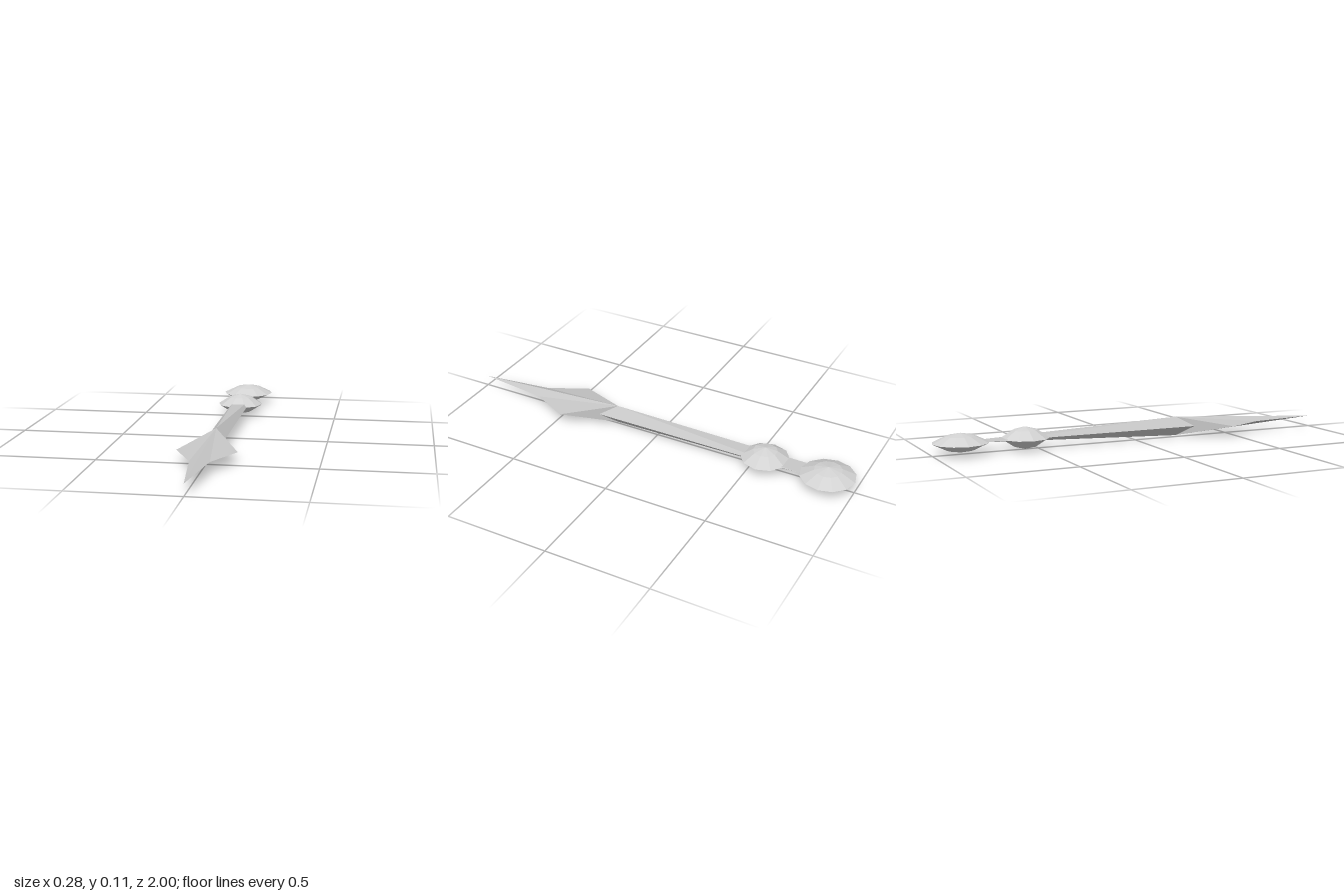
import * as THREE from 'three';

const MID = 0.056; // height of the symmetry plane

// Builds a faceted solid from the triangles of one quarter, mirrored in x and y.
function mirroredSolid(triangles, material, name) {
  const positions = [];
  for (const sx of [1, -1]) {
    for (const sy of [1, -1]) {
      for (const [a, b, c] of triangles) {
        const order = sx * sy > 0 ? [a, b, c] : [a, c, b];
        for (const [x, y, z] of order) positions.push(x * sx, y * sy, z);
      }
    }
  }
  const geometry = new THREE.BufferGeometry();
  geometry.setAttribute('position', new THREE.Float32BufferAttribute(positions, 3));
  geometry.computeVertexNormals();
  const mesh = new THREE.Mesh(geometry, material);
  mesh.name = name;
  mesh.position.y = MID;
  return mesh;
}

// Flattened faceted bead with a low crown above and below.
function bead(radius, height, sides, z, material, name) {
  const profile = [
    [0, -1], [0.5, -0.7], [1, 0], [0.5, 0.7], [0, 1],
  ].map(([r, y]) => new THREE.Vector2(r * radius, y * height));
  const geometry = new THREE.LatheGeometry(profile, sides, Math.PI / 2).toNonIndexed();
  geometry.computeVertexNormals();
  const mesh = new THREE.Mesh(geometry, material);
  mesh.name = name;
  mesh.position.set(0, MID, z);
  return mesh;
}

export function createModel() {
  const steel = new THREE.MeshStandardMaterial({ color: 0xc6c6c6, flatShading: true });
  steel.name = 'steel grey';
  const pale = new THREE.MeshStandardMaterial({ color: 0xd2d2d2, flatShading: true });
  pale.name = 'pale grey';

  const group = new THREE.Group();
  group.name = 'dart';

  // Shared ridge point where the blade meets the shaft
  const apex = [0, 0.046, 0.22];

  // Spear-shaped blade with a notched back
  const tip = [0, 0, 1];
  const shoulder = [0.045, 0, 0.655];
  const barb = [0.138, 0, 0.47];
  group.add(mirroredSolid([
    [apex, tip, shoulder],
    [apex, shoulder, barb],
    [apex, barb, [0, 0, 0.22]],
  ], steel, 'blade'));

  // Shaft that flattens to a thin edge at the back
  const frontCorner = [0.045, 0, 0.3];
  const backCorner = [0.045, 0, -0.75];
  group.add(mirroredSolid([
    [apex, frontCorner, backCorner],
    [apex, backCorner, [0, 0, -0.75]],
  ], steel, 'shaft'));

  // Collar and end pommel
  group.add(bead(0.115, 0.053, 10, -0.562, pale, 'collar'));
  group.add(bead(0.13, 0.045, 12, -0.87, pale, 'pommel'));

  return group;
}
